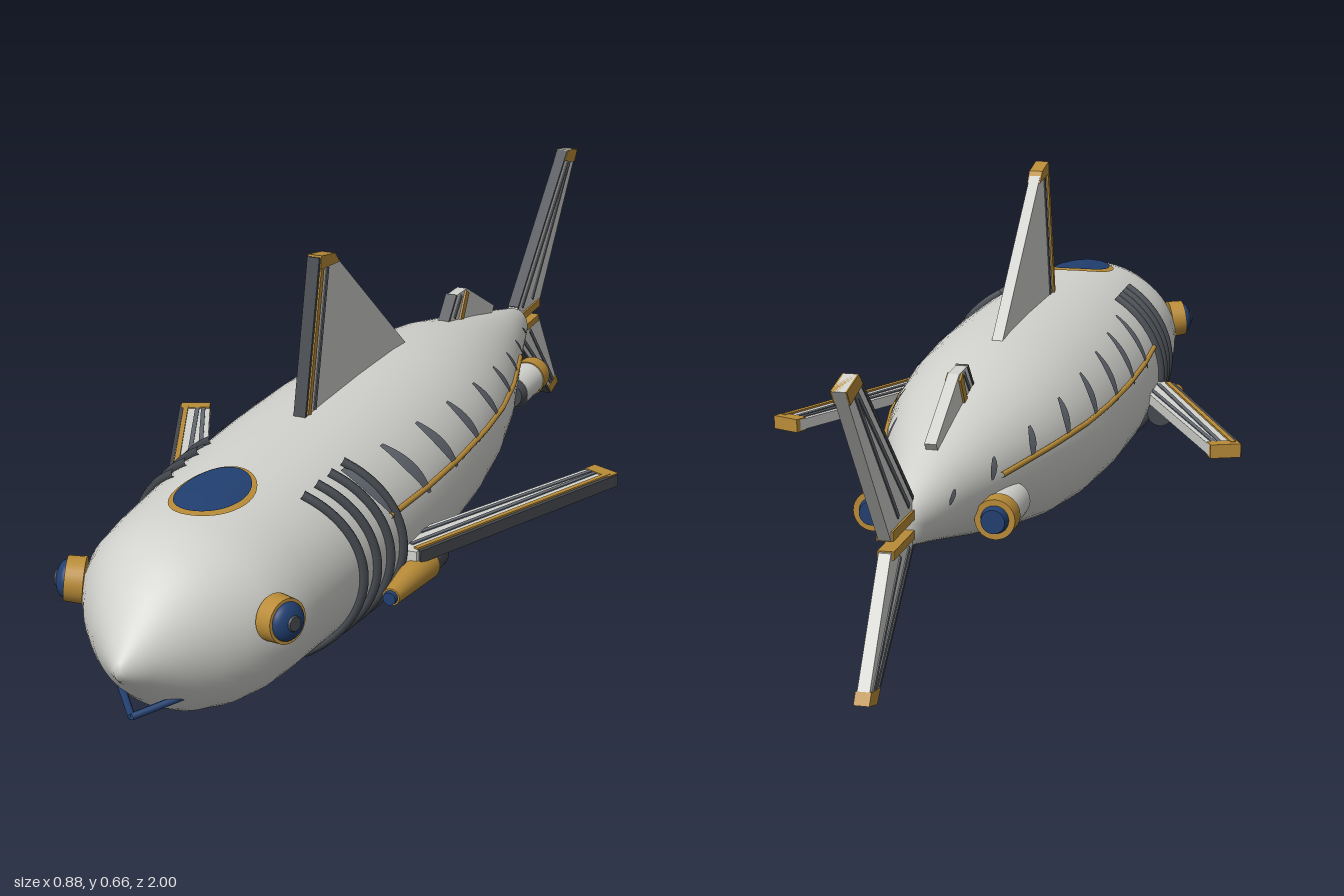
import * as THREE from 'three';

const mat = (name, color, side = THREE.FrontSide) => {
  const m = new THREE.MeshStandardMaterial({ color, side });
  m.name = name;
  return m;
};

// Body stations: z, top y, bottom y, half width
const STATIONS = [
  [1.0, 0.235, 0.205, 0.01], [0.97, 0.268, 0.18, 0.042], [0.925, 0.318, 0.137, 0.088],
  [0.89, 0.345, 0.108, 0.118], [0.86, 0.362, 0.09, 0.142], [0.82, 0.375, 0.077, 0.168],
  [0.78, 0.381, 0.072, 0.184], [0.72, 0.386, 0.069, 0.192], [0.6, 0.392, 0.064, 0.2],
  [0.45, 0.398, 0.054, 0.21], [0.3, 0.4, 0.047, 0.214], [0.15, 0.4, 0.046, 0.211],
  [0, 0.396, 0.053, 0.2], [-0.12, 0.386, 0.068, 0.184], [-0.25, 0.367, 0.093, 0.155],
  [-0.4, 0.333, 0.128, 0.109], [-0.53, 0.3, 0.16, 0.068], [-0.66, 0.265, 0.19, 0.03],
];

// Ellipse of the body at any z: centre height, half height, half width
function section(z) {
  let i = 0;
  while (i < STATIONS.length - 2 && STATIONS[i + 1][0] > z) i++;
  const a = STATIONS[i], b = STATIONS[i + 1], t = (a[0] - z) / (a[0] - b[0]);
  const [top, bottom, w] = [1, 2, 3].map((k) => a[k] + (b[k] - a[k]) * t);
  return { c: (top + bottom) / 2, h: (top - bottom) / 2, w };
}

// Point on the hull; angle 0 is the flank of the given side, PI/2 the back
function onHull(z, angle, side = 1, lift = 0) {
  const { c, h, w } = section(z);
  return new THREE.Vector3(side * (w + lift) * Math.cos(angle), c + (h + lift) * Math.sin(angle), z);
}

// Smooth grid surface from a point rule
function grid(nu, nv, fn) {
  const pos = [], idx = [];
  for (let i = 0; i <= nu; i++) for (let j = 0; j <= nv; j++) pos.push(...fn(i / nu, j / nv).toArray());
  for (let i = 0; i < nu; i++) for (let j = 0; j < nv; j++) {
    const a = i * (nv + 1) + j, b = a + nv + 1;
    idx.push(a, a + 1, b, b, a + 1, b + 1);
  }
  const g = new THREE.BufferGeometry();
  g.setAttribute('position', new THREE.Float32BufferAttribute(pos, 3));
  g.setIndex(idx);
  g.computeVertexNormals();
  return g;
}

function hullGeometry() {
  const n = 64, pos = [], idx = [], rows = STATIONS.length;
  for (const [z] of STATIONS) for (let j = 0; j < n; j++) pos.push(...onHull(z, (j / n) * Math.PI * 2).toArray());
  for (let i = 0; i < rows - 1; i++) for (let j = 0; j < n; j++) {
    const a = i * n + j, b = i * n + ((j + 1) % n);
    idx.push(a, a + n, b, b, a + n, b + n);
  }
  // Nose and tail caps
  const nose = rows * n, tail = nose + 1, last = (rows - 1) * n;
  pos.push(0, 0.22, 1, 0, 0.2275, -0.66);
  for (let j = 0; j < n; j++) {
    const k = (j + 1) % n;
    idx.push(nose, j, k, tail, last + k, last + j);
  }
  const g = new THREE.BufferGeometry();
  g.setAttribute('position', new THREE.Float32BufferAttribute(pos, 3));
  g.setIndex(idx);
  g.computeVertexNormals();
  return g;
}

// Flat slab: upright outlines are (z, y), level outlines are (x, z)
function slab(points, thick, level = false) {
  const shape = new THREE.Shape(points.map(([a, b]) => new THREE.Vector2(a, b)));
  const g = new THREE.ExtrudeGeometry(shape, { depth: thick, bevelEnabled: false });
  g.translate(0, 0, -thick / 2);
  return level ? g.rotateX(Math.PI / 2) : g.rotateY(-Math.PI / 2);
}

// Outline of a straight strip between two points
function strip([ax, ay], [bx, by], width) {
  const l = Math.hypot(bx - ax, by - ay);
  const nx = (-(by - ay) / l) * width / 2, ny = ((bx - ax) / l) * width / 2;
  return [[ax + nx, ay + ny], [bx + nx, by + ny], [bx - nx, by - ny], [ax - nx, ay - ny]];
}

const tube = (pts, r, seg = 32) => new THREE.TubeGeometry(new THREE.CatmullRomCurve3(pts), seg, r, 8);

export function createModel() {
  const model = new THREE.Group();
  model.name = 'mechanicalShark';
  const pale = mat('pale hull', 0xd2d3ce);
  const dark = mat('dark metal', 0x44484e);
  const slate = mat('slate marking', 0x646971, THREE.DoubleSide);
  const gold = mat('gold trim', 0xb98c38, THREE.DoubleSide);
  const blue = mat('blue glass', 0x213f70, THREE.DoubleSide);

  const add = (name, geometry, material, parent = model) => {
    const m = new THREE.Mesh(geometry, material);
    m.name = name;
    parent.add(m);
    return m;
  };
  const group = (name) => {
    const g = new THREE.Group();
    g.name = name;
    model.add(g);
    return g;
  };

  add('hull', hullGeometry(), pale);

  // Fin built from a slab, an edge strip, gold strips, a gold tip and spars
  function fin(name, { outline, edge, trims = [], tip, spars = [] }, level = false) {
    const g = group(name);
    add('finBlade', slab(outline, 0.02, level), pale, g);
    if (edge) add('leadingEdge', slab(strip(...edge, 0.007), 0.022, level), dark, g);
    for (const t of trims) add('finTrim', slab(strip(t[0], t[1], t[2]), 0.027, level), gold, g);
    if (tip) add('finTip', slab(tip, 0.025, level), gold, g);
    for (const s of spars) add('finSpar', slab(strip(s[0], s[1], 0.008), 0.024, level), slate, g);
    return g;
  }

  fin('dorsalFin', {
    outline: [[0.37, 0.38], [0.305, 0.662], [0.25, 0.65], [-0.065, 0.385], [0.1, 0.37]],
    edge: [[0.372, 0.39], [0.308, 0.66]],
    trims: [[[0.361, 0.4], [0.303, 0.64], 0.012]],
    tip: [[0.31, 0.64], [0.305, 0.663], [0.25, 0.652], [0.232, 0.632]],
    spars: [[[0.335, 0.4], [0.278, 0.635]]],
  });
  fin('rearDorsalFin', {
    outline: [[-0.26, 0.345], [-0.31, 0.402], [-0.365, 0.4], [-0.515, 0.318], [-0.5, 0.3], [-0.27, 0.33]],
    edge: [[-0.262, 0.35], [-0.31, 0.402]],
    trims: [[[-0.325, 0.335], [-0.362, 0.395], 0.018]],
    spars: [[[-0.3, 0.36], [-0.335, 0.395]]],
  });
  fin('upperTailFin', {
    outline: [[-0.65, 0.235], [-0.65, 0.265], [-0.94, 0.533], [-1.0, 0.52], [-0.78, 0.235]],
    edge: [[-0.655, 0.268], [-0.938, 0.53]],
    trims: [[[-0.655, 0.242], [-0.78, 0.242], 0.016]],
    tip: [[-0.92, 0.514], [-0.94, 0.533], [-1.0, 0.52], [-0.982, 0.497]],
    spars: [[[-0.68, 0.262], [-0.95, 0.51]], [[-0.74, 0.262], [-0.955, 0.505]]],
  });
  fin('lowerTailFin', {
    outline: [[-0.65, 0.215], [-0.65, 0.195], [-0.87, 0.008], [-0.912, 0.018], [-0.78, 0.215]],
    edge: [[-0.655, 0.193], [-0.87, 0.008]],
    trims: [[[-0.655, 0.21], [-0.775, 0.21], 0.014]],
    tip: [[-0.85, 0.026], [-0.87, 0.006], [-0.912, 0.018], [-0.9, 0.036]],
    spars: [[[-0.68, 0.195], [-0.873, 0.028]], [[-0.73, 0.195], [-0.885, 0.03]]],
  });

  // Canopy on top of the head
  const dome = (a, b, lift) => grid(10, 40, (u, v) => {
    const x = a * u * Math.cos(v * Math.PI * 2), z = 0.69 + b * u * Math.sin(v * Math.PI * 2);
    const { c, h, w } = section(z);
    return new THREE.Vector3(x, c + h * Math.sqrt(1 - (x / w) ** 2) + lift, z);
  });
  add('canopyRim', dome(0.064, 0.089, 0.004), gold);
  add('canopyGlass', dome(0.056, 0.08, 0.007), blue);

  // Mouth chevron
  const jaw = [[-0.056, 0.147, 0.905], [0, 0.132, 0.97], [0.056, 0.147, 0.905]].map((p) => new THREE.Vector3(...p));
  for (const k of [0, 1]) add('mouth', new THREE.TubeGeometry(new THREE.LineCurve3(jaw[k], jaw[k + 1]), 1, 0.006, 8), blue);

  for (const s of [1, -1]) {
    const side = s > 0 ? 'left' : 'right';
    const mx = (pts) => pts.map(([x, z]) => [s * x, z]);

    const pectoral = fin(side + 'PectoralFin', {
      outline: mx([[0.18, 0.43], [0.235, 0.425], [0.436, -0.02], [0.386, -0.04], [0.205, 0.33]]),
      edge: mx([[0.238, 0.42], [0.435, -0.018]]),
      trims: [[...mx([[0.23, 0.415], [0.422, -0.01]]), 0.009]],
      tip: mx([[0.426, 0.004], [0.437, -0.02], [0.386, -0.041], [0.376, -0.018]]),
      spars: [mx([[0.215, 0.4], [0.398, -0.01]]), mx([[0.21, 0.35], [0.388, -0.015]])],
    }, true);
    pectoral.position.y = 0.205;

    // Eye: gold socket and blue lens, facing outward and a little forward
    const eye = group(side + 'Eye');
    eye.position.set(s * 0.178, 0.26, 0.818);
    eye.quaternion.setFromUnitVectors(new THREE.Vector3(0, 1, 0), new THREE.Vector3(s * 0.9, 0.1, 0.38).normalize());
    add('eyeSocket', new THREE.CylinderGeometry(0.036, 0.038, 0.03, 32), gold, eye);
    const lens = add('eyeLens', new THREE.SphereGeometry(0.031, 32, 12, 0, Math.PI * 2, 0, Math.PI / 2), blue, eye);
    lens.position.y = 0.014;
    lens.scale.y = 0.55;
    const pupil = add('pupil', new THREE.CylinderGeometry(0.011, 0.014, 0.006, 24), dark, eye);
    pupil.position.y = 0.03;

    // Gill bands bowing backward around the flank
    for (let i = 0; i < 4; i++) {
      const pts = [];
      for (let k = 0; k <= 14; k++) {
        const a = -0.98 + (k / 14) * 1.96;
        pts.push(onHull(0.64 - i * 0.047 - 0.068 * Math.cos(a), a, s, 0.003));
      }
      add('gillBand', tube(pts, 0.0085), dark);
    }

    // Flank markings, shrinking toward the tail
    for (let i = 0; i < 9; i++) {
      const z0 = 0.455 - 0.129 * i, k = i / 8;
      const width = 0.036 - 0.018 * k, mid = 0.6 - 0.25 * k, half = 0.33 - 0.18 * k;
      add('flankMarking', grid(12, 4, (u, v) => {
        const taper = 0.35 + 0.65 * Math.sin(Math.PI * u);
        const z = z0 + (u - 0.5) * 0.045 * (1 - 0.5 * k) + (v - 0.5) * width * taper;
        return onHull(z, mid + (u * 2 - 1) * half, s, 0.003);
      }), slate);
    }

    // Gold side line
    const line = [];
    for (let k = 0; k <= 20; k++) line.push(onHull(0.45 - k * 0.044, 0.34 - k * 0.007, s, 0.001));
    add('sideLine', tube(line, 0.005, 60), gold);

    // Turned parts along z: [front radius, back radius, front z, back z, material]
    const turned = (name, x, y, parts) => {
      const g = group(name);
      g.position.set(s * x, y, 0);
      for (const [label, r0, r1, z0, z1, m] of parts) {
        const c = add(label, new THREE.CylinderGeometry(r0, r1, z0 - z1, 28).rotateX(Math.PI / 2), m, g);
        c.position.z = (z0 + z1) / 2;
      }
    };
    turned(side + 'FinThruster', 0.23, 0.174, [
      ['thrusterLens', 0.011, 0.013, 0.528, 0.515, blue],
      ['thrusterCone', 0.015, 0.029, 0.52, 0.38, gold],
      ['thrusterNozzle', 0.025, 0.025, 0.385, 0.332, dark],
    ]);
    turned(side + 'RearPod', 0.103, 0.193, [
      ['podNose', 0.025, 0.032, -0.362, -0.38, dark],
      ['podShell', 0.032, 0.033, -0.378, -0.465, pale],
      ['podRing', 0.035, 0.034, -0.463, -0.498, gold],
      ['podLens', 0.026, 0.02, -0.49, -0.512, blue],
    ]);
  }
  return model;
}
